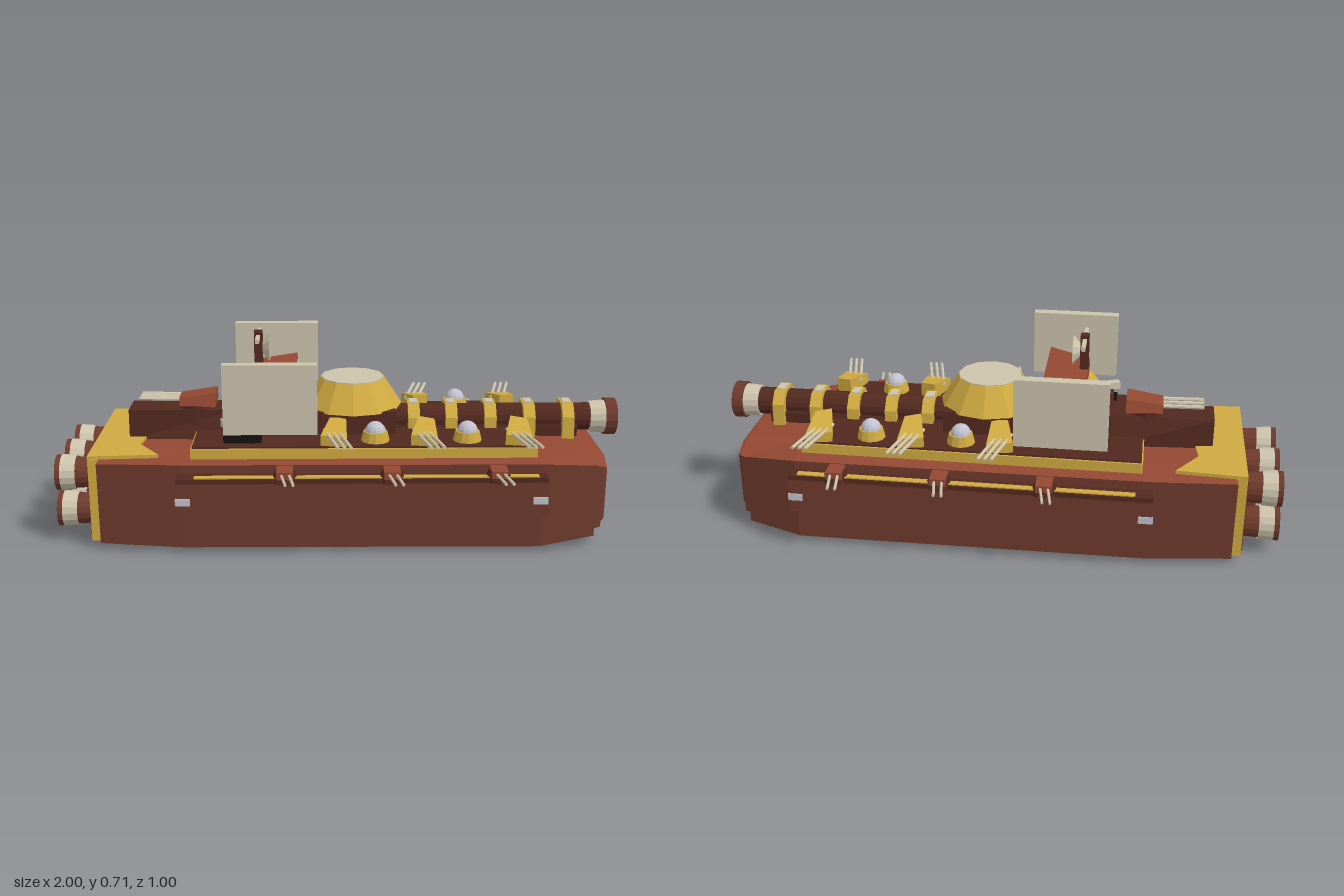
import * as THREE from 'three';

const mat = (name, color, side = THREE.FrontSide) => {
  const m = new THREE.MeshStandardMaterial({ color, flatShading: true, side });
  m.name = name;
  return m;
};

export function createModel() {
  const root = new THREE.Group();
  const dark = mat('dark brown', 0x52291f);
  const brown = mat('hull brown', 0x6e3a2c, THREE.DoubleSide);
  const red = mat('rust red', 0x934832);
  const yellow = mat('mustard yellow', 0xcfaa40);
  const beige = mat('beige', 0xcdc3ac, THREE.DoubleSide);
  const grey = mat('pale grey', 0xc1c2cd);
  const black = mat('black', 0x16110f);

  const add = (name, geo, material, parent = root) => {
    const m = new THREE.Mesh(geo, material);
    m.name = name;
    parent.add(m);
    return m;
  };
  const box = (name, m, x0, x1, y0, y1, z0, z1) => {
    const b = add(name, new THREE.BoxGeometry(x1 - x0, y1 - y0, Math.abs(z1 - z0)), m);
    b.position.set((x0 + x1) / 2, (y0 + y1) / 2, (z0 + z1) / 2);
    return b;
  };
  // Cylinder between two points
  const rod = (name, m, a, b, r0, r1 = r0, seg = 8, open = false) => {
    const p = new THREE.Vector3(...a), q = new THREE.Vector3(...b), d = q.clone().sub(p);
    const c = add(name, new THREE.CylinderGeometry(r1, r0, d.length(), seg, 1, open), m);
    c.position.copy(p).add(q).multiplyScalar(0.5);
    c.quaternion.setFromUnitVectors(new THREE.Vector3(0, 1, 0), d.normalize());
    return c;
  };
  // Skin over cross-sections along x; every section is a ring of [z, y]
  const loft = (name, mats, sections, matOf = () => 0) => {
    const pos = [], geo = new THREE.BufferGeometry();
    const tri = (mi, ...pts) => {
      geo.addGroup(pos.length / 3, 3, mi);
      pts.forEach(p => pos.push(...p));
    };
    const S = sections.map(([x, ring]) => ring.map(([z, y]) => [x, y, z]));
    const n = S[0].length, last = S[S.length - 1];
    for (let i = 0; i < S.length - 1; i++) for (let j = 0; j < n; j++) {
      const k = (j + 1) % n, a = S[i][j], b = S[i][k], c = S[i + 1][k], d = S[i + 1][j];
      tri(matOf(j), a, d, c);
      tri(matOf(j), a, c, b);
    }
    for (let j = 1; j < n - 1; j++) {
      tri(0, S[0][0], S[0][j], S[0][j + 1]);
      tri(0, last[0], last[j + 1], last[j]);
    }
    geo.setAttribute('position', new THREE.Float32BufferAttribute(pos, 3));
    geo.computeVertexNormals();
    return add(name, geo, mats);
  };
  const octagon = (w, zb, zt, y0, y1, y2, y3) =>
    [[zb, y0], [w, y1], [w, y2], [zt, y3], [-zt, y3], [-w, y2], [-w, y1], [-zb, y0]];
  const trapezoid = (wb, wt, y0, y1) => [[wb, y0], [wt, y1], [-wt, y1], [-wb, y0]];
  // Flat plate with its outline given as [x, z], lying at height y
  const plate = (name, m, pts, y, h) => {
    const g = new THREE.ExtrudeGeometry(new THREE.Shape(pts.map(([x, z]) => new THREE.Vector2(x, -z))),
      { depth: h, bevelEnabled: false });
    g.rotateX(-Math.PI / 2);
    g.translate(0, y, 0);
    return add(name, g, m);
  };

  // Hull with stepped bow
  const topRed = j => (j >= 2 && j <= 4 ? 1 : 0);
  loft('hull', [brown, red], [
    [-0.84, octagon(0.3, 0.18, 0.2, 0.015, 0.025, 0.315, 0.325)],
    [-0.55, octagon(0.33, 0.2, 0.18, 0.01, 0.02, 0.32, 0.333)],
    [0.68, octagon(0.34, 0.18, 0.18, 0, 0.02, 0.32, 0.333)],
    [0.88, octagon(0.285, 0.17, 0.15, 0.005, 0.035, 0.295, 0.322)],
  ], topRed);
  loft('bowStep', [brown, red], [
    [0.84, octagon(0.275, 0.18, 0.14, 0.01, 0.05, 0.285, 0.318)],
    [0.91, octagon(0.25, 0.17, 0.14, 0.015, 0.055, 0.28, 0.31)],
  ], topRed);
  loft('bowFace', [brown, red], [
    [0.9, octagon(0.235, 0.18, 0.15, 0.02, 0.065, 0.27, 0.3)],
    [0.932, octagon(0.205, 0.17, 0.15, 0.045, 0.07, 0.26, 0.288)],
  ], topRed);
  for (const s of [1, -1]) {
    box('bowPatch', red, 0.93, 0.935, 0.24, 0.28, s * 0.05, s * 0.15);
    box('bowPatch', red, 0.93, 0.935, 0.065, 0.11, s * 0.13, s * 0.185);
  }

  // Stern plating
  box('sternPlate', yellow, -0.872, -0.838, 0.028, 0.326, -0.285, 0.285);
  box('sternPanel', brown, -0.877, -0.87, 0.04, 0.31, -0.265, 0.265);
  plate('sternDeck', yellow, [[-0.872, 0.285], [-0.63, 0.27], [-0.71, 0.15], [-0.69, 0],
    [-0.71, -0.15], [-0.63, -0.27], [-0.872, -0.285]], 0.326, 0.012);

  // Six engine nozzles
  for (const y of [0.108, 0.243]) for (const z of [-0.175, 0, 0.175]) {
    rod('engineBody', brown, [-0.87, y, z], [-0.935, y, z], 0.052, 0.056, 16);
    rod('engineBand', beige, [-0.93, y, z], [-0.982, y, z], 0.06, 0.064, 16, true);
    const lip = add('engineLip', new THREE.LatheGeometry([[0.06, 0], [0.063, 0.02], [0.05, 0.02], [0.042, -0.02]]
      .map(p => new THREE.Vector2(...p)), 16), brown);
    lip.rotation.z = Math.PI / 2;
    lip.position.set(-0.98, y, z);
    rod('engineCore', black, [-0.93, y, z], [-0.962, y, z], 0.055, 0.055, 16);
    rod('engineHub', grey, [-0.96, y, z], [-0.975, y, z], 0.02, 0.012, 10);
  }

  // Raised gun deck
  box('deckBase', yellow, -0.52, 0.67, 0.32, 0.36, -0.282, 0.282);
  box('deckTop', dark, -0.515, 0.665, 0.358, 0.366, -0.275, 0.275);

  // Side sponsons with lamps and twin guns
  for (const s of [1, -1]) {
    box('sponson', [dark, dark, dark, dark, brown, brown], -0.56, 0.69, 0.155, 0.275, s * 0.32, s * 0.4);
    box('sponsonRoof', dark, -0.56, 0.69, 0.275, 0.29, s * 0.32, s * 0.392);
    box('sponsonStripe', yellow, -0.5, 0.66, 0.287, 0.294, s * 0.362, s * 0.386);
    for (const x of [-0.538, 0.665])
      box('sideLamp', grey, x - 0.025, x + 0.025, 0.2, 0.225, s * 0.395, s * 0.404);
    for (const x of [-0.195, 0.165, 0.525]) {
      rod('sideGunMount', dark, [x, 0.275, s * 0.365], [x, 0.312, s * 0.365], 0.048, 0.035, 10);
      box('sideGunBlock', red, x - 0.028, x + 0.028, 0.292, 0.318, s * 0.33, s * 0.405);
      for (const d of [-0.013, 0.013])
        rod('sideGunBarrel', beige, [x + d, 0.307, s * 0.39], [x + d + s * 0.018, 0.307, s * 0.497], 0.005);
    }
    // Deck triple guns
    for (const x of [-0.04, 0.27, 0.595]) {
      const g = plate('tripleGunHouse', yellow, [[x - 0.035, 0.265], [x + 0.055, 0.285],
        [x + 0.055, 0.15], [x, 0.13]].map(([a, z]) => [a, s * z]), 0.366, 0.055);
      const p = g.geometry.attributes.position;
      for (let i = 0; i < p.count; i++)
        if (p.getY(i) > 0.4) p.setY(i, 0.43 - (Math.abs(p.getZ(i)) - 0.13) * 0.2);
      g.geometry.computeVertexNormals();
      for (const d of [-0.022, 0, 0.022])
        rod('tripleGunBarrel', beige, [x + d, 0.402, s * 0.2], [x + d + 0.045, 0.402, s * 0.4], 0.006);
    }
    // Sensor domes
    for (const x of [0.115, 0.435]) {
      rod('domeBase', yellow, [x, 0.366, s * 0.205], [x, 0.4, s * 0.205], 0.05, 0.042, 12);
      const dome = add('sensorDome', new THREE.SphereGeometry(0.036, 12, 5, 0, Math.PI * 2, 0, Math.PI / 2), grey);
      dome.position.set(x, 0.398, s * 0.205);
    }
    // Shield panels
    box('shieldPanel', [grey, grey, beige, beige, beige, beige], -0.4, -0.085, 0.43, 0.67, s * 0.305, s * 0.342);
  }

  // Main gun with clamps
  rod('mainGunBarrel', dark, [0.1, 0.387, 0], [0.915, 0.387, 0], 0.05, 0.05, 16);
  box('mainGunCradle', dark, 0.1, 0.85, 0.33, 0.37, -0.06, 0.06);
  for (const x of [0.26, 0.395, 0.535, 0.675, 0.815]) {
    loft('gunClamp', [yellow], [x - 0.021, x + 0.021].map(v =>
      [v, [[0.08, 0.32], [0.075, 0.405], [0.04, 0.445], [-0.04, 0.445], [-0.075, 0.405], [-0.08, 0.32]]]));
    box('clampCap', beige, x - 0.014, x + 0.014, 0.443, 0.45, -0.025, 0.025);
  }
  rod('muzzleBand', beige, [0.9, 0.387, 0], [0.957, 0.387, 0], 0.056, 0.06, 16);
  rod('muzzle', brown, [0.955, 0.387, 0], [0.995, 0.387, 0], 0.067, 0.067, 16);
  rod('muzzleLens', grey, [0.99, 0.387, 0], [1, 0.387, 0], 0.046, 0.046, 16);

  // Central dome
  box('domePlinth', dark, -0.13, 0.19, 0.36, 0.447, -0.14, 0.14);
  rod('centralDome', yellow, [0.04, 0.443, 0], [0.04, 0.54, 0], 0.178, 0.115, 12);
  rod('centralDomeCap', beige, [0.04, 0.538, 0], [0.04, 0.544, 0], 0.113, 0.113, 12);

  // Command tower and bridge
  loft('towerBase', [dark], [-0.4, -0.12].map(x => [x, trapezoid(0.15, 0.13, 0.36, 0.45)]));
  loft('tower', [yellow], [[-0.36, trapezoid(0.13, 0.12, 0.44, 0.47)], [-0.3, trapezoid(0.14, 0.1, 0.44, 0.55)],
    [-0.16, trapezoid(0.15, 0.11, 0.44, 0.55)]]);
  plate('bridge', red, [[-0.31, 0.09], [-0.16, 0.184], [-0.16, -0.184], [-0.31, -0.09]], 0.537, 0.047);
  box('bridgeWindow', grey, -0.163, -0.156, 0.552, 0.572, -0.132, 0.132);

  // Mast and dish
  box('mast', dark, -0.31, -0.28, 0.58, 0.71, -0.016, 0.016);
  box('mastArm', beige, -0.302, -0.288, 0.683, 0.698, -0.097, 0.097);
  rod('dish', beige, [-0.28, 0.65, 0], [-0.255, 0.65, 0], 0.022, 0.052, 10);

  // Rear turret
  loft('rearBlock', [dark], [[-0.76, trapezoid(0.065, 0.06, 0.325, 0.435)], [-0.38, trapezoid(0.11, 0.065, 0.325, 0.435)]]);
  rod('turretRing', dark, [-0.52, 0.34, 0], [-0.52, 0.447, 0], 0.075, 0.065, 14);
  loft('rearTurret', [red], [[-0.58, trapezoid(0.05, 0.04, 0.445, 0.475)],
    [-0.45, trapezoid(0.065, 0.05, 0.445, 0.492)]]);
  for (const z of [-0.032, 0, 0.032])
    rod('rearTurretBarrel', beige, [-0.55, 0.466, z], [-0.722, 0.47, z], 0.008);

  // Small deck launcher
  box('launcherBase', black, -0.41, -0.28, 0.366, 0.393, 0.16, 0.235);
  rod('launcherPost', grey, [-0.31, 0.39, 0.2], [-0.31, 0.43, 0.2], 0.016);
  const tube = box('launcherTube', beige, -0.42, -0.3, 0.42, 0.447, 0.182, 0.21);
  tube.rotation.y = 0.4;

  return root;
}
